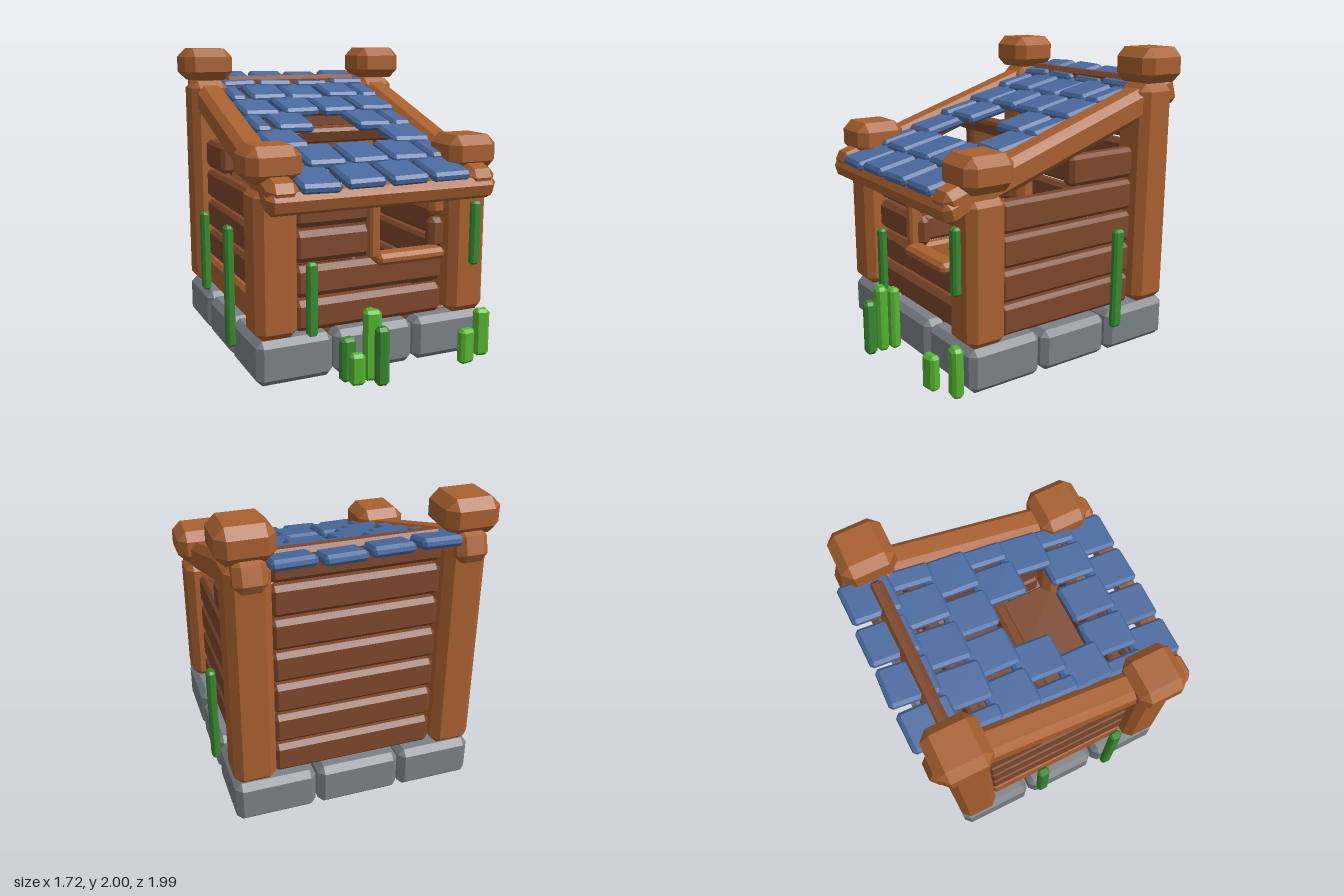
import * as THREE from 'three';
import { ConvexGeometry } from 'three/addons/geometries/ConvexGeometry.js';

const paint = (name, color) => {
  const m = new THREE.MeshStandardMaterial({ color, flatShading: true });
  m.name = name;
  return m;
};

// Box with every edge and corner cut off at 45 degrees
function chamferBox(w, h, d, c) {
  const a = w / 2, b = h / 2, e = d / 2, pts = [];
  for (const i of [-1, 1]) for (const j of [-1, 1]) for (const k of [-1, 1]) {
    pts.push(
      new THREE.Vector3(i * a, j * (b - c), k * (e - c)),
      new THREE.Vector3(i * (a - c), j * b, k * (e - c)),
      new THREE.Vector3(i * (a - c), j * (b - c), k * e)
    );
  }
  return new ConvexGeometry(pts);
}

export function createModel() {
  const model = new THREE.Group();
  const wood = paint('light wood', 0xa86030);
  const darkWood = paint('dark wood', 0x7d472b);
  const stone = paint('grey stone', 0x7b8188);
  const slate = paint('blue slate', 0x4a6a9f);
  const leaf = paint('dark green', 0x37892f);
  const grass = paint('bright green', 0x56b430);

  let seed = 7;
  const jitter = (s) => {
    seed = (seed * 16807) % 2147483647;
    return (seed / 2147483647 - 0.5) * 2 * s;
  };

  const block = (name, mat, [w, h, d], [x, y, z], c) => {
    const mesh = new THREE.Mesh(chamferBox(w, h, d, c), mat);
    mesh.name = name;
    mesh.position.set(x, y, z);
    model.add(mesh);
    return mesh;
  };
  // Same, given as ranges along each axis
  const span = (name, mat, [x0, x1], [y0, y1], [z0, z1], c) =>
    block(name, mat, [x1 - x0, y1 - y0, z1 - z0],
      [(x0 + x1) / 2, (y0 + y1) / 2, (z0 + z1) / 2], c);

  // Foundation: three by three stones
  const stoneX = [[-0.8, -0.3], [-0.29, 0.26], [0.275, 0.8]];
  const stoneZ = [[0.19, 0.71], [-0.35, 0.17], [-0.89, -0.37]];
  stoneX.forEach((sx) => stoneZ.forEach((sz, j) =>
    span('foundationStone', stone, sx, [0, [0.285, 0.27, 0.28][j]], sz, 0.04)));

  // Floor
  span('floor', darkWood, [-0.62, 0.62], [0.24, 0.3], [-0.74, 0.58], 0.01);

  // Slope of the roof
  const slope = 0.325, angle = Math.atan(slope);
  const roofY = (z) => 1.426 - slope * z;

  // Corner posts with caps, and sloping rails
  for (const s of [-1, 1]) {
    block('frontPost', wood, [0.27, 0.93, 0.27], [s * 0.665, 0.745, 0.58], 0.05);
    block('backPost', wood, [0.27, 1.49, 0.27], [s * 0.665, 1.025, -0.755], 0.05);
    block('frontCap', wood, [0.345, 0.225, 0.345], [s * 0.675, 1.35, 0.58], 0.06);
    block('backCap', wood, [0.345, 0.225, 0.345], [s * 0.675, 1.888, -0.76], 0.06);
    block('roofRail', wood, [0.2, 0.2, 1.88], [s * 0.665, roofY(-0.06), -0.06], 0.045)
      .rotation.x = angle;
  }
  block('eaveBeam', wood, [1.54, 0.15, 0.13], [0, 1.147, 0.785], 0.04).rotation.x = angle;

  // Purlins under the roof
  for (const z of [0.43, -0.12, -0.57])
    block('purlin', darkWood, [1.2, 0.11, 0.09], [0, roofY(z) - 0.05, z], 0.02)
      .rotation.x = angle;

  // Walls of stacked planks
  const row = (i) => [0.28 + i * 0.22, 0.48 + i * 0.22];
  for (let i = 0; i < 7; i++)
    span('backPlank', darkWood, [-0.53, 0.53], row(i), [-0.82, -0.72], 0.03);
  for (let i = 0; i < 4; i++) {
    const y = row(i);
    span('leftPlank', darkWood, [0.62, 0.72], y, [-0.62, 0.435], 0.025);
    span('rightPlank', i === 0 ? wood : darkWood, [-0.72, -0.62], y, [-0.62, 0.435], 0.025);
    if (i < 2) {
      span('frontPlank', darkWood, [-0.525, 0.52], y, [0.53, 0.63], 0.035);
    } else {
      span('frontPlank', darkWood, [-0.525, 0.06], y, [0.53, 0.63], 0.035);
      span('frontStubPlank', i === 3 ? wood : darkWood, [0.42, 0.53], y, [0.53, 0.63], 0.03);
    }
  }
  span('leftTopPlank', darkWood, [0.62, 0.72], [1.16, 1.357], [-0.62, -0.09], 0.025);
  span('rightTopPlank', darkWood, [-0.72, -0.62], [1.16, 1.357], [-0.62, -0.22], 0.025);

  // Window frame
  span('windowPost', wood, [-0.04, 0.03], [0.715, 1.12], [0.59, 0.68], 0.015);
  span('windowSill', wood, [0, 0.485], [0.67, 0.745], [0.58, 0.72], 0.025);

  // Shingles in staggered rows, some missing
  const even = [[-0.57, -0.31], [-0.28, -0.02], [0.01, 0.27], [0.3, 0.57]];
  const odd = [[-0.57, -0.46], [-0.42, -0.16], [-0.135, 0.13], [0.155, 0.41], [0.435, 0.57]];
  for (let r = 0; r < 7; r++) {
    const z = 0.7 - r * 0.256;
    (r % 2 ? odd : even).forEach(([x0, x1], k) => {
      if ((r === 2 && (k === 1 || k === 2)) || (r === 3 && k === 2)) return;
      const tile = block('shingle', slate, [x1 - x0, 0.065, 0.325],
        [(x0 + x1) / 2, roofY(z) + 0.06 + jitter(0.006), z + jitter(0.008)], 0.02);
      tile.rotation.set(angle - 0.1, jitter(0.04), jitter(0.03));
    });
  }

  // Vines hanging on the walls: x, z, bottom, top
  const vines = [
    [-0.835, 0.27, 0.13, 0.92], [-0.835, -0.28, 0.35, 0.9],
    [0.828, -0.4, 0.19, 0.86], [-0.43, 0.66, 0.26, 0.735], [0.68, 0.745, 0.62, 1.04],
  ];
  for (const [x, z, y0, y1] of vines) {
    const side = Math.abs(x) > 0.8;
    block('vine', leaf, [side ? 0.055 : 0.068, y1 - y0, side ? 0.08 : 0.055],
      [x, (y0 + y1) / 2, z], 0.015);
  }

  // Grass blades at the front: x, z, height, width, material
  const blades = [
    [-0.11, 0.845, 0.45, 0.11, grass], [-0.085, 0.765, 0.43, 0.08, grass],
    [-0.225, 0.875, 0.2, 0.095, grass], [0.565, 0.855, 0.23, 0.11, grass],
    [0.73, 0.78, 0.32, 0.1, grass], [-0.255, 0.8, 0.28, 0.1, leaf],
    [-0.09, 0.94, 0.37, 0.085, leaf],
  ];
  blades.forEach(([x, z, h, w, mat], i) => {
    block('grassBlade', mat, [w, h, 0.075], [x, h / 2, z], 0.02)
      .rotation.y = i % 2 ? 0.15 : -0.2;
  });

  return model;
}
